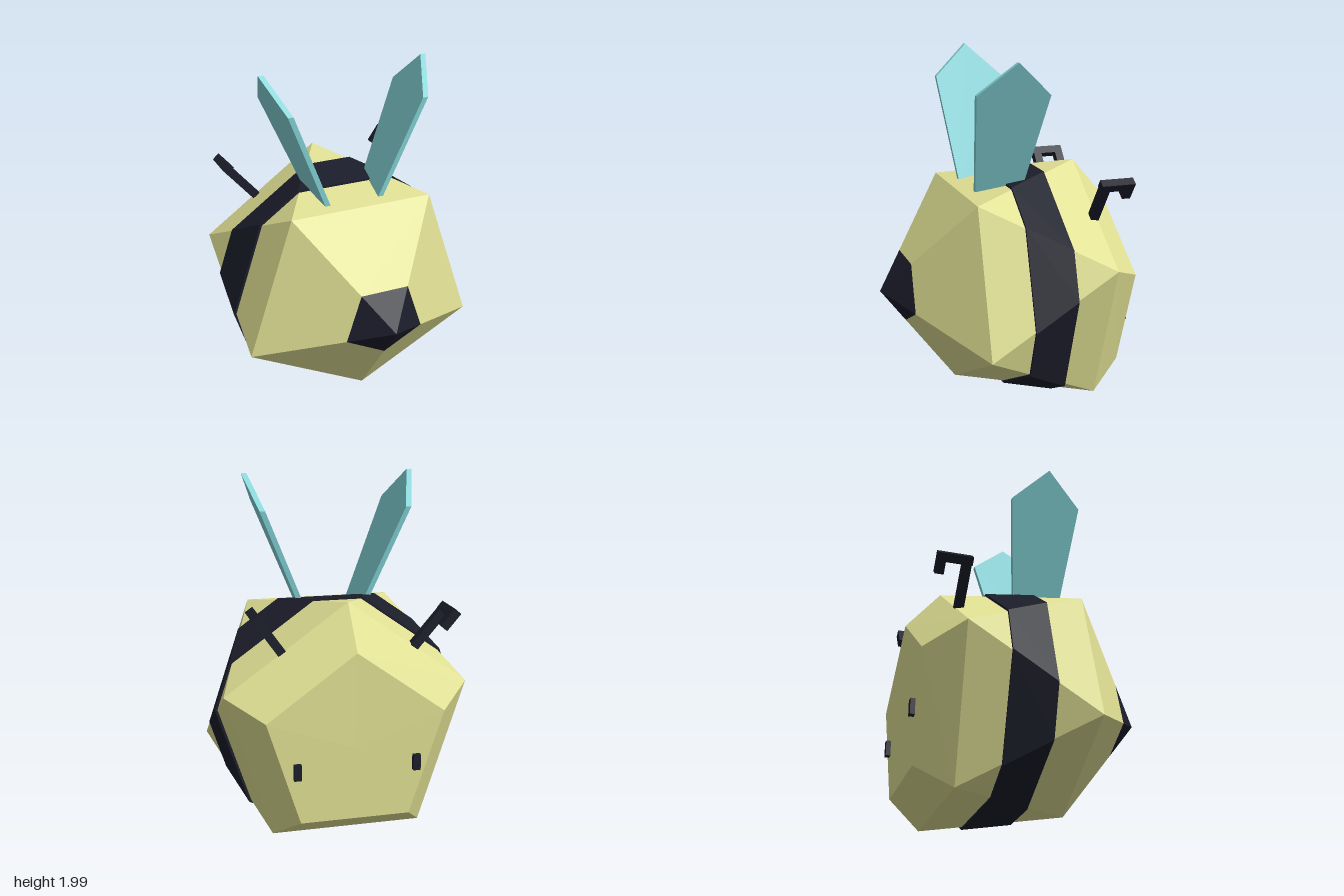
import * as THREE from 'three';

const mat = (color) => new THREE.MeshStandardMaterial({ color, flatShading: true, roughness: 0.8 });
const yellow = mat(0xe0e094), dark = mat(0x1b1d2a), cyan = mat(0x84d4d8);

const V = (x, y, z) => new THREE.Vector3(x, y, z);
const lerp = (a, b, t) => a.clone().lerp(b, t);

// Skins a list of equal-sized rings (front to back), with optional fan centres at both ends
function loft(rings, frontCentre, backCentre) {
  const tris = [];
  rings.forEach((f, k) => {
    const n = f.length;
    for (let i = 0; i < n; i++) {
      const j = (i + 1) % n;
      if (k === 0 && frontCentre) tris.push(frontCentre, f[i], f[j]);
      if (k === rings.length - 1) {
        if (backCentre) tris.push(backCentre, f[j], f[i]);
      } else {
        const b = rings[k + 1];
        tris.push(f[i], b[i], f[j], b[i], b[j], f[j]);
      }
    }
  });
  const geo = new THREE.BufferGeometry().setFromPoints(tris);
  geo.computeVertexNormals();
  return geo;
}

function add(parent, name, geo, material) {
  const mesh = new THREE.Mesh(geo, material);
  mesh.name = name;
  parent.add(mesh);
  return mesh;
}

function addBox(parent, name, size, pos, material) {
  add(parent, name, new THREE.BoxGeometry(...size), material).position.set(...pos);
}

export function createModel() {
  const model = new THREE.Group();
  model.name = 'bee';

  // Faceted body: two offset pentagons, a pointed sting end and a cut-off face end
  const apex = V(0, 0.63, 0.71);
  const ringA = [V(0.43, 1.21, 0.245), V(-0.43, 1.21, 0.245), V(-0.7, 0.39, 0.25), V(0, 0.035, 0.26), V(0.7, 0.39, 0.25)];
  const ringB = [V(0, 1.335, -0.49), V(-0.695, 0.84, -0.49), V(-0.43, 0.008, -0.475), V(0.43, 0.008, -0.475), V(0.695, 0.84, -0.49)];
  const ringC = [V(0, 1.1, -0.69), V(-0.5, 0.74, -0.69), V(-0.31, 0.145, -0.675), V(0.31, 0.145, -0.675), V(0.5, 0.74, -0.69)];
  const tipRing = ringA.map((p) => lerp(apex, p, 1 / 3));
  add(model, 'body', loft([tipRing, ringA, ringB, ringC], null, V(0, 0.56, -0.685)), yellow);
  add(model, 'sting', loft([tipRing], apex), dark);

  // Stripe: slice of the body between two depths, slightly enlarged
  const slice = (z) => {
    const pts = [];
    const cut = (a, b) => {
      const p = lerp(a, b, (a.z - z) / (a.z - b.z));
      pts.push(V(p.x * 1.022, Math.max(0, 0.67 + (p.y - 0.67) * 1.022), z));
    };
    for (let i = 0; i < 5; i++) {
      cut(ringA[i], ringB[i]);
      cut(ringA[(i + 1) % 5], ringB[i]);
    }
    return pts;
  };
  add(model, 'stripe', loft([slice(0), slice(-0.25)], V(0, 0.67, 0), V(0, 0.67, -0.25)), dark);

  // Wings: thin pointed plates, leaning outward
  const outline = [[0.175, 1.22], [-0.1, 1.22], [-0.18, 1.8], [0.03, 1.99], [0.24, 1.81]];
  for (const [side, name, rootX] of [[1, 'leftWing', 0.16], [-1, 'rightWing', 0.19]]) {
    const shape = new THREE.Shape(outline.map(([z, y]) => new THREE.Vector2(-z, y)));
    const geo = new THREE.ExtrudeGeometry(shape, { depth: 0.032, bevelEnabled: false });
    geo.translate(0, 0, -0.016).rotateY(Math.PI / 2);
    const p = geo.attributes.position;
    for (let i = 0; i < p.count; i++) {
      const lean = rootX + (p.getY(i) - 1.22) * 0.41 - p.getZ(i) * 0.06;
      p.setX(i, p.getX(i) + side * lean);
    }
    geo.computeVertexNormals();
    add(model, name, geo, cyan);
  }

  // Antennae: leaning post, arm toward the face, short drooping hook
  for (const [name, x, y, tilt] of [['leftAntenna', 0.54, 1.312, -0.61], ['rightAntenna', -0.58, 1.285, 0.71]]) {
    const antenna = new THREE.Group();
    antenna.name = name;
    addBox(antenna, 'post', [0.05, 0.31, 0.05], [0, -0.155, -0.47], dark);
    addBox(antenna, 'arm', [0.05, 0.05, 0.2], [0, -0.025, -0.54], dark);
    addBox(antenna, 'hook', [0.05, 0.12, 0.05], [0, -0.06, -0.615], dark);
    antenna.position.set(x, y, 0);
    antenna.rotation.z = tilt;
    model.add(antenna);
  }

  // Eyes on the flat face
  for (const [name, x] of [['leftEye', 0.332], ['rightEye', -0.342]]) {
    addBox(model, name, [0.042, 0.09, 0.05], [x, 0.455, -0.685], dark);
  }

  return model;
}
